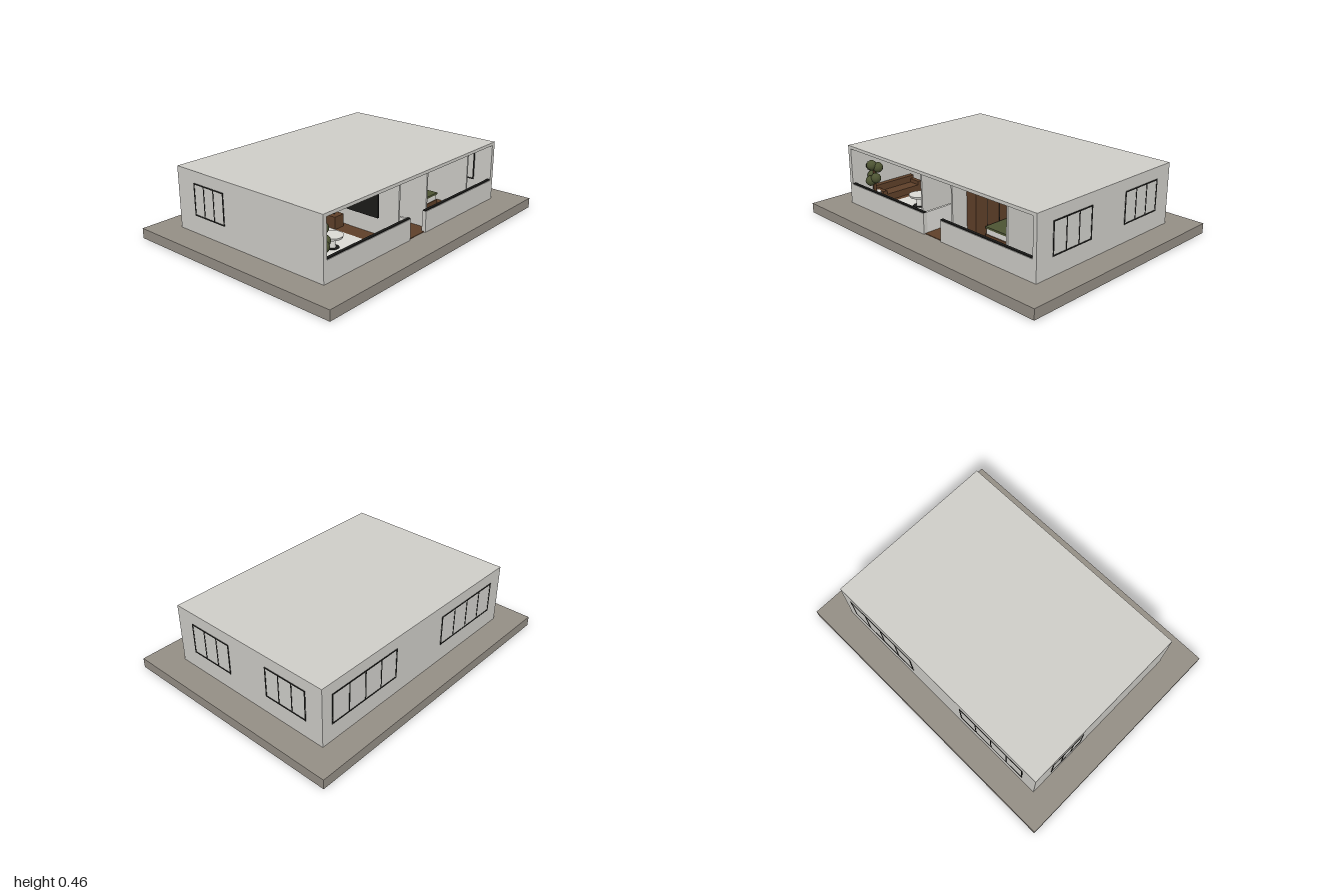
import * as THREE from 'three';

const mat = (name, color) => {
  const m = new THREE.MeshStandardMaterial({ color });
  m.name = name;
  return m;
};

export function createModel() {
  const house = new THREE.Group();
  house.name = 'house';
  const wall = mat('wall plaster', 0xcfcec9), stone = mat('base stone', 0x958f86);
  const black = mat('black metal', 0x1c1c1a), wood = mat('brown wood', 0x5f4029);
  const olive = mat('olive green', 0x4d5433), white = mat('soft white', 0xdcdbd6);
  const pane = mat('window pane', 0xd2d1cc);

  // Box given by its extents on each axis
  const box = (name, m, x0, x1, y0, y1, z0, z1, parent = house) => {
    const mesh = new THREE.Mesh(new THREE.BoxGeometry(x1 - x0, y1 - y0, z1 - z0), m);
    mesh.position.set((x0 + x1) / 2, (y0 + y1) / 2, (z0 + z1) / 2);
    mesh.name = name;
    parent.add(mesh);
    return mesh;
  };
  const round = (name, m, rTop, rBottom, y0, y1, x, z, sides = 24) => {
    const mesh = new THREE.Mesh(new THREE.CylinderGeometry(rTop, rBottom, y1 - y0, sides), m);
    mesh.position.set(x, (y0 + y1) / 2, z);
    mesh.name = name;
    house.add(mesh);
  };

  // Base, floor and outer shell
  const F = 0.065, T = 0.44;
  box('baseSlab', stone, -1, 1, 0, F, -0.765, 0.765);
  box('floor', wood, -0.8, 0.8, F, F + 0.004, -0.57, 0.56);
  box('roof', wall, -0.83, 0.83, T, 0.46, -0.6, 0.57);
  box('backWall', wall, -0.83, 0.83, F, T, -0.6, -0.57);
  for (const s of [-1, 1]) {
    const a = s * 0.83, b = s * 0.803;
    box('sideWall', wall, Math.min(a, b), Math.max(a, b), F, T, -0.57, 0.57);
  }

  // Low front wall either side of the entry, with dark rails
  for (const [a, b] of [[-0.803, -0.08], [0.072, 0.803]]) {
    box('frontLowWall', wall, a, b, F, 0.199, 0.543, 0.57);
    box('frontRail', black, a, b, 0.199, 0.206, 0.548, 0.566);
  }
  box('entryLowWall', white, -0.097, -0.081, F, 0.2, 0.33, 0.543);

  // Partitions and the cross wall
  for (const x of [-0.14, 0.133, 0.578]) box('partition', wall, x - 0.006, x + 0.006, F, T, -0.05, 0.53);
  box('crossWall', wall, -0.146, 0.803, F, T, -0.062, -0.05);
  box('rearPartition', wall, -0.146, -0.134, F, T, -0.57, -0.062);

  // Windows run through the wall; width lies along local x
  const addWindow = (name, width, panes, x, z, turn) => {
    const g = new THREE.Group();
    g.name = name;
    const y0 = 0.18, y1 = 0.385, h = width / 2, t = 0.008, d = 0.018;
    box('pane', pane, -h, h, y0, y1, -0.0158, 0.0158, g);
    for (const y of [y0, y1 - t]) box('frameRail', black, -h, h, y, y + t, -d, d, g);
    for (let i = 0; i <= panes; i++) {
      const c = -h + t / 2 + (i / panes) * (width - t), k = i % panes ? 0.003 : t / 2;
      box('frameBar', black, c - k, c + k, y0 + t, y1 - t, -d, d, g);
    }
    g.position.set(x, 0, z);
    g.rotation.y = turn;
    house.add(g);
  };
  addWindow('backWindow', 0.52, 4, -0.47, -0.585, 0);
  addWindow('backWindow', 0.54, 4, 0.485, -0.585, 0);
  addWindow('leftFrontWindow', 0.32, 3, 0.815, 0.285, Math.PI / 2);
  addWindow('leftBackWindow', 0.31, 3, 0.815, -0.325, Math.PI / 2);
  addWindow('rightBackWindow', 0.26, 3, -0.815, -0.325, Math.PI / 2);

  // Inner door with panels and handle
  box('innerDoor', wood, -0.08, 0.048, F, 0.335, -0.05, -0.035);
  for (const x of [-0.055, 0.02]) box('doorGroove', black, x - 0.002, x + 0.002, 0.075, 0.325, -0.035, -0.032);
  box('doorHandle', black, 0.03, 0.038, 0.18, 0.2, -0.035, -0.02);
  box('hallShelf', olive, -0.075, 0.02, 0.186, 0.196, -0.035, 0.0);

  // Living room: sofa, round table, lamp, screen, hanging light
  box('sofaSeat', wood, -0.8, -0.68, F, 0.115, 0.1, 0.42);
  box('sofaBack', wood, -0.8, -0.765, 0.115, 0.16, 0.1, 0.42);
  for (const z of [0.1, 0.39]) box('sofaArm', wood, -0.765, -0.68, 0.115, 0.14, z, z + 0.03);
  round('tableTop', white, 0.065, 0.06, 0.135, 0.15, -0.46, 0.3);
  round('tableLeg', white, 0.015, 0.02, F, 0.135, -0.46, 0.3);
  round('tableFoot', black, 0.04, 0.04, F + 0.004, 0.074, -0.46, 0.3);
  box('rug', white, -0.64, -0.26, F + 0.004, 0.072, 0.0, 0.42);
  box('cabinet', wood, -0.6, -0.34, F, 0.14, -0.25, -0.15);
  round('lampStand', black, 0.005, 0.005, 0.15, 0.235, -0.22, 0.1, 8);
  round('lampShade', white, 0.018, 0.028, 0.235, 0.275, -0.22, 0.1);
  box('lampTable', wood, -0.26, -0.18, F, 0.15, 0.06, 0.14);
  box('wallScreen', black, -0.2, -0.19, 0.2, 0.35, 0.18, 0.42);
  box('screenBracket', black, -0.19, -0.146, 0.26, 0.28, 0.29, 0.31);
  box('hangingLight', black, -0.585, -0.36, 0.28, 0.29, 0.04, 0.05);
  box('hangingRod', black, -0.474, -0.47, 0.29, T, 0.043, 0.047);

  // Potted plant made of leafy balls
  round('plantPot', white, 0.04, 0.03, F, 0.14, -0.73, 0.45, 16);
  round('plantStem', wood, 0.008, 0.01, 0.14, 0.3, -0.73, 0.45, 8);
  for (const [x, y, z] of [[-0.765, 0.24, 0.44], [-0.7, 0.24, 0.46], [-0.73, 0.22, 0.48],
    [-0.76, 0.31, 0.45], [-0.7, 0.31, 0.44], [-0.725, 0.325, 0.47]]) {
    const leaf = new THREE.Mesh(new THREE.SphereGeometry(0.034, 12, 8), olive);
    leaf.position.set(x, y, z);
    leaf.name = 'plantLeaves';
    house.add(leaf);
  }

  // Bedroom: wardrobe, bed and side table
  box('wardrobe', wood, 0.139, 0.216, F, 0.375, 0.14, 0.42);
  for (const z of [0.23, 0.325]) box('wardrobeGroove', black, 0.216, 0.218, 0.075, 0.365, z, z + 0.004);
  box('hallCabinet', wood, 0.095, 0.127, F, 0.3, 0.0, 0.12);
  box('hallCabinetHandle', black, 0.085, 0.095, 0.235, 0.242, 0.05, 0.07);
  box('bedBase', wood, 0.23, 0.5, F, 0.1, -0.02, 0.36);
  box('mattress', white, 0.235, 0.495, 0.1, 0.135, -0.02, 0.355);
  box('blanket', olive, 0.23, 0.5, 0.135, 0.148, 0.1, 0.36);
  box('headboard', olive, 0.22, 0.51, F, 0.216, -0.048, -0.02);
  for (const x of [0.25, 0.38]) box('pillow', white, x, x + 0.1, 0.135, 0.155, -0.01, 0.07);
  box('sideTable', white, 0.525, 0.555, F, 0.212, -0.045, 0.02);

  // Washroom fittings
  box('tallCabinet', white, 0.62, 0.73, F, 0.325, -0.045, 0.05);
  box('lowCabinet', white, 0.588, 0.695, F, 0.3, 0.1, 0.2);
  box('basinCabinet', white, 0.715, 0.79, F, 0.312, 0.25, 0.4);
  return house;
}
